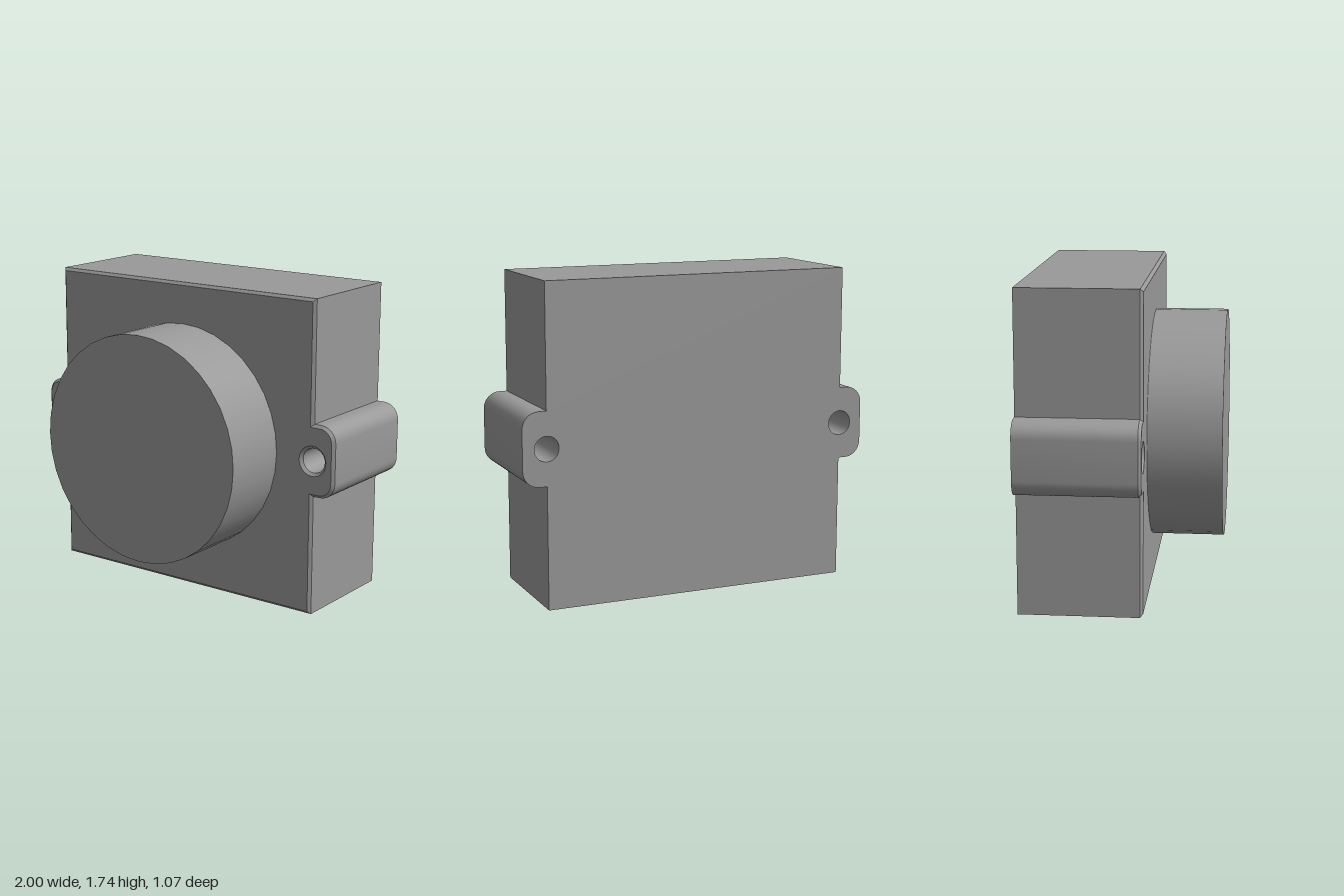
import * as THREE from 'three';
import { mergeGeometries, toCreasedNormals } from 'three/addons/utils/BufferGeometryUtils.js';

const CY = 0.87, HALF = 0.867, HEIGHT = 1.74;   // housing
const EAR_X = 1, EAR_H = 0.2, EAR_R = 0.09;     // mounting ears
const HOLE_R = 0.068, CHAMFER = 0.016;
const BACK = -0.533, SHOULDER = 0.117, FRONT = 0.133;

// Counter-clockwise outline of the housing with ears, shrunk by i
function outline(i) {
  const right = [[HALF - i, i], [HALF - i, CY - EAR_H + i]];
  const r = EAR_R - i, cx = EAR_X - EAR_R, dy = EAR_H - EAR_R;
  for (const s of [-1, 1]) {
    for (let k = 0; k <= 8; k++) {
      const a = (s < 0 ? -Math.PI / 2 : 0) + (k / 8) * Math.PI / 2;
      right.push([cx + r * Math.cos(a), CY + s * dy + r * Math.sin(a)]);
    }
  }
  right.push([HALF - i, CY + EAR_H - i], [HALF - i, HEIGHT - i]);
  const left = right.map(([x, y]) => [-x, y]).reverse();
  return [...right, ...left].map(([x, y]) => new THREE.Vector2(x, y));
}

// Clockwise screw hole, widened by i
function hole(side, i) {
  return Array.from({ length: 32 }, (_, k) => {
    const a = -(k / 32) * Math.PI * 2;
    return new THREE.Vector2(side * HALF + (HOLE_R + i) * Math.cos(a), CY + (HOLE_R + i) * Math.sin(a));
  });
}

const loops = (i) => [outline(i), hole(1, i), hole(-1, i)];

// Wall joining two matching loops, a behind b
function band(a, za, b, zb) {
  const pos = [];
  a.forEach((p, k) => {
    const n = (k + 1) % a.length, q = a[n], P = b[k], Q = b[n];
    pos.push(p.x, p.y, za, q.x, q.y, za, Q.x, Q.y, zb);
    pos.push(p.x, p.y, za, Q.x, Q.y, zb, P.x, P.y, zb);
  });
  const g = new THREE.BufferGeometry();
  g.setAttribute('position', new THREE.Float32BufferAttribute(pos, 3));
  return toCreasedNormals(g, 0.5);
}

// Flat face with both screw holes cut out
function cap(i, z, backward) {
  const [edge, ...holes] = loops(i);
  const shape = new THREE.Shape(edge);
  shape.holes = holes.map((h) => new THREE.Path(h));
  const g = new THREE.ShapeGeometry(shape);
  if (backward) {
    const ix = g.index.array;
    for (let k = 0; k < ix.length; k += 3) [ix[k], ix[k + 1]] = [ix[k + 1], ix[k]];
    g.computeVertexNormals();
  }
  g.deleteAttribute('uv');
  return g.toNonIndexed().translate(0, 0, z);
}

export function createModel() {
  const group = new THREE.Group();
  const grey = new THREE.MeshStandardMaterial({ color: 0x999999 });
  grey.name = 'grey';
  const add = (name, geometry) => {
    const mesh = new THREE.Mesh(geometry, grey);
    mesh.name = name;
    group.add(mesh);
    return mesh;
  };

  // Housing with ears, through holes and a chamfered front edge
  const outer = loops(0), inner = loops(CHAMFER);
  const parts = [cap(0, BACK, true), cap(CHAMFER, FRONT, false)];
  outer.forEach((loop, k) => {
    parts.push(band(loop, BACK, loop, SHOULDER), band(loop, SHOULDER, inner[k], FRONT));
  });
  add('housing', mergeGeometries(parts));

  // Round boss on the front
  const depth = 0.533 - FRONT + 0.01;
  const boss = new THREE.CylinderGeometry(0.638, 0.638, depth, 36).rotateX(Math.PI / 2);
  add('frontBoss', boss).position.set(0, CY + 0.003, 0.533 - depth / 2);

  return group;
}
